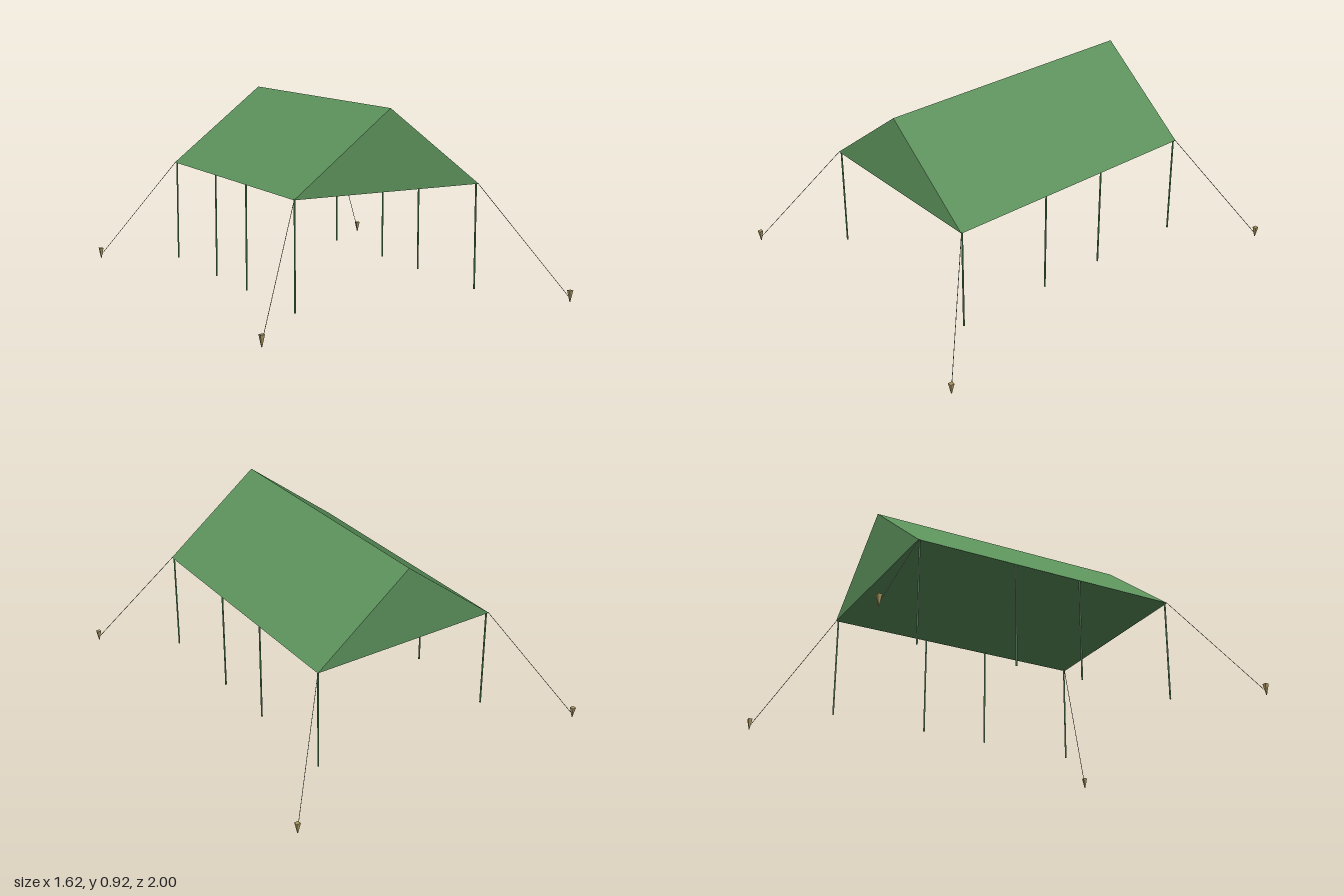
import * as THREE from 'three';

const HALF_W = 0.49, EAVE = 0.54, RIDGE = 0.92, HALF_L = 0.68;

const material = (color) => new THREE.MeshStandardMaterial({ color, flatShading: true });
const canvasGreen = material(0x5c925c);
const ropeColor = material(0x8c8c78);
const pegColor = material(0xa89460);

function addMesh(parent, name, geometry, mat) {
  const mesh = new THREE.Mesh(geometry, mat);
  mesh.name = name;
  parent.add(mesh);
  return mesh;
}

// thin cylinder spanning two points
function addRod(parent, name, from, to, radius, sides, mat) {
  const dir = to.clone().sub(from);
  const rod = addMesh(parent, name, new THREE.CylinderGeometry(radius, radius, dir.length(), sides), mat);
  rod.position.copy(from).addScaledVector(dir, 0.5);
  rod.quaternion.setFromUnitVectors(new THREE.Vector3(0, 1, 0), dir.normalize());
  return rod;
}

export function createModel() {
  const tent = new THREE.Group();
  tent.name = 'canopyTent';

  // closed gable roof
  const gable = new THREE.Shape([
    new THREE.Vector2(-HALF_W, EAVE),
    new THREE.Vector2(HALF_W, EAVE),
    new THREE.Vector2(0, RIDGE),
  ]);
  const roof = new THREE.ExtrudeGeometry(gable, { depth: 2 * HALF_L, bevelEnabled: false });
  roof.translate(0, 0, -HALF_L);
  addMesh(tent, 'roof', roof, canvasGreen);

  for (const sx of [-1, 1]) {
    const side = sx > 0 ? 'left' : 'right';

    // four poles under each eave
    for (const z of [-0.67, -0.174, 0.174, 0.67]) {
      addRod(tent, side + 'Pole', new THREE.Vector3(sx * 0.482, 0.03, z),
        new THREE.Vector3(sx * 0.482, EAVE + 0.003, z), 0.0043, 8, canvasGreen);
    }

    // guy rope and ground peg at each corner
    for (const sz of [-1, 1]) {
      const corner = side + (sz > 0 ? 'Front' : 'Back');
      addRod(tent, corner + 'Rope', new THREE.Vector3(sx * 0.487, EAVE + 0.003, sz * 0.677),
        new THREE.Vector3(sx * 0.8, 0.02, sz * 0.988), 0.0015, 6, ropeColor);
      const peg = new THREE.CylinderGeometry(0.0145, 0.002, 0.055, 4);
      peg.rotateY(Math.PI / 4);
      addMesh(tent, corner + 'Peg', peg, pegColor).position.set(sx * 0.802, 0.0275, sz * 0.99);
    }
  }
  return tent;
}
